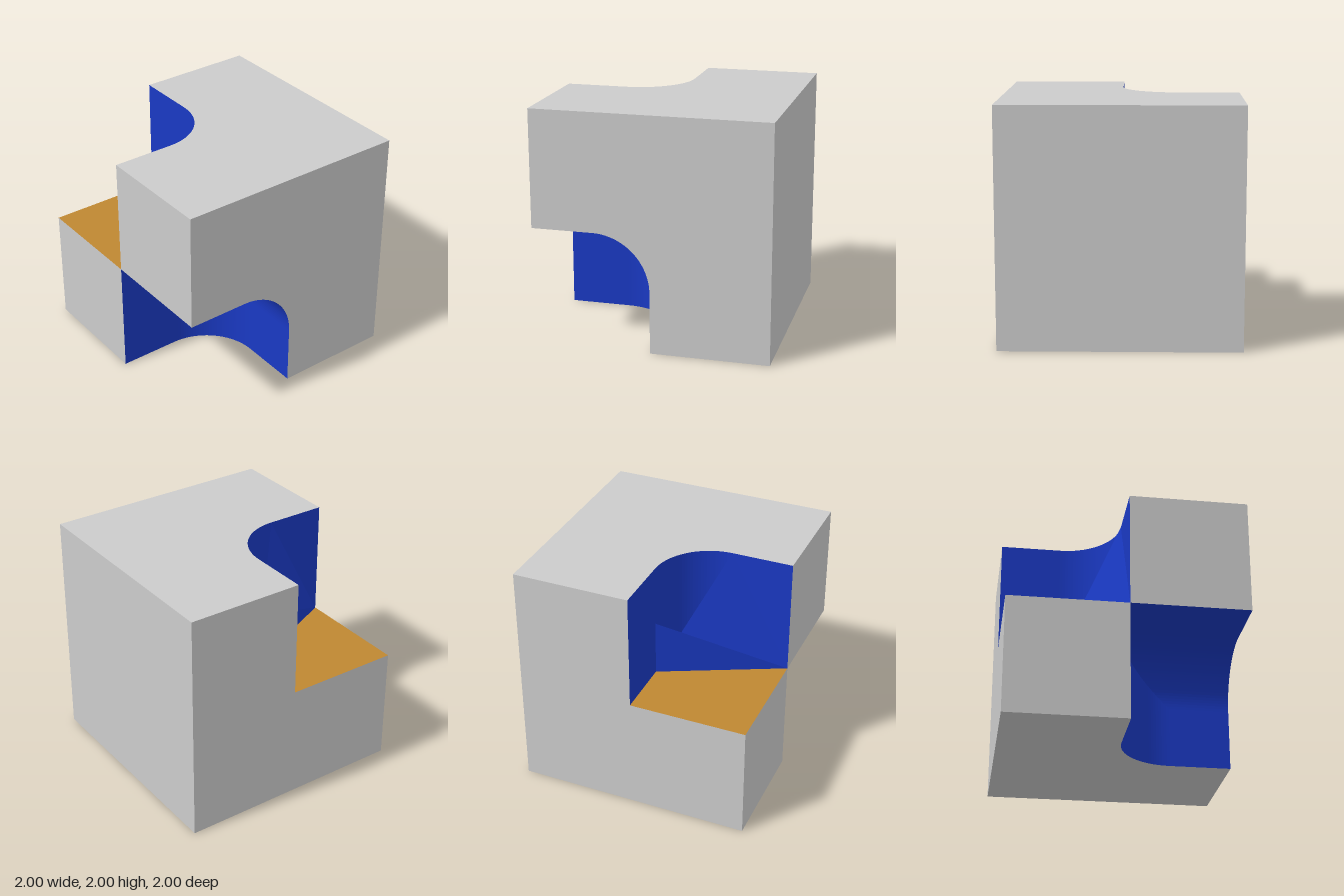
import * as THREE from 'three';

const R = 0.48, SEG = 32;
const material = (color) => new THREE.MeshStandardMaterial({ color, flatShading: true, side: THREE.DoubleSide });
const V = (x, y, z) => new THREE.Vector3(x, y, z);

// Filleted corner line: along the wall, round the fillet, out to the front
function profile(r) {
  const pts = [new THREE.Vector2(-1, 0)];
  if (r === 0) pts.push(new THREE.Vector2(0, 0));
  else for (let i = 0; i <= SEG; i++) {
    const a = (i / SEG) * Math.PI / 2;
    pts.push(new THREE.Vector2(-r + r * Math.sin(a), r - r * Math.cos(a)));
  }
  pts.push(new THREE.Vector2(0, 1));
  return pts;
}

// Square panel with one notched quadrant (u < 0, v > 0)
const notched = (r) => [
  new THREE.Vector2(-1, -1), new THREE.Vector2(1, -1), new THREE.Vector2(1, 1),
  ...profile(r).reverse(),
];
const polygon = (...p) => p.map(([x, y]) => new THREE.Vector2(x, y));

// Flat panel laid out on axes u and v, facing along n
function panel(points, u, v, n, origin) {
  const geo = new THREE.ShapeGeometry(new THREE.Shape(points));
  const m = new THREE.Matrix4().makeBasis(u, v, n).setPosition(origin);
  if (m.determinant() < 0) geo.setIndex(Array.from(geo.index.array).reverse());
  geo.applyMatrix4(m);
  geo.computeVertexNormals();
  return geo;
}

// Surface through cross-sections of equal length
function loft(rows) {
  const pos = [], idx = [], n = rows[0].length;
  rows.forEach((row) => row.forEach((p) => pos.push(p.x, p.y, p.z)));
  for (let i = 0; i < rows.length - 1; i++) {
    for (let j = 0; j < n - 1; j++) {
      const a = i * n + j, b = a + n;
      idx.push(a, b, b + 1, a, b + 1, a + 1);
    }
  }
  const geo = new THREE.BufferGeometry();
  geo.setAttribute('position', new THREE.Float32BufferAttribute(pos, 3));
  geo.setIndex(idx);
  geo.computeVertexNormals();
  return geo;
}

function triangle(a, b, c) {
  const geo = new THREE.BufferGeometry().setFromPoints([a, b, c]);
  geo.computeVertexNormals();
  return geo;
}

export function createModel() {
  const group = new THREE.Group();
  const grey = material(0xcccccc), blue = material(0x1a39c3), orange = material(0xbf8731);
  const add = (name, geo, mat) => {
    const mesh = new THREE.Mesh(geo, mat);
    mesh.name = name;
    group.add(mesh);
  };
  const X = V(1, 0, 0), Y = V(0, 1, 0), Z = V(0, 0, 1);
  const nX = V(-1, 0, 0), nY = V(0, -1, 0), nZ = V(0, 0, -1);

  // Outer faces of the cube
  add('topFace', panel(notched(R), X, Z, Y, V(0, 2, 0)), grey);
  add('bottomFace', panel(notched(R), nX, Z, nY, V(0, 0, 0)), grey);
  add('leftFace', panel(notched(R), Y, Z, X, V(1, 1, 0)), grey);
  add('rightFace', panel(notched(0), nY, Z, nX, V(-1, 1, 0)), grey);
  const square = polygon([-1, -1], [1, -1], [1, 1], [-1, 1]);
  add('backFace', panel(square, X, Y, nZ, V(0, 1, -1)), grey);
  const quarter = polygon([0, 0], [1, 0], [1, 1], [0, 1]);
  add('upperFrontFace', panel(quarter, X, Y, Z, V(0, 1, 1)), grey);
  add('lowerFrontFace', panel(quarter, X, Y, Z, V(-1, 0, 1)), grey);

  // Upper notch: filleted wall, flat floor and the shaded corner floor
  add('upperNotchWall', loft(profile(R).map((p) => [V(p.x, 2, p.y), V(p.x, 1, p.y)]).reverse()), blue);
  add('notchFloor', panel(polygon([-1, 0], [-R, 0], [0, 1], [-1, 1]), X, Z, Y, V(0, 1, 0)), orange);
  add('cornerFloor', panel(profile(R).slice(1), X, Z, Y, V(0, 1, 0)), blue);

  // Slanted facets rising from the slanting floor edge
  const foot = V(-R, 1, 0), tip = V(0, 1, 1);
  add('uprightFacet', triangle(foot, tip, V(-R, 1 + R, 0)), blue);
  add('leaningFacet', triangle(foot, tip, V(0, 2, R)), blue);

  // Lower notch: upright and overhead fillets meeting along a mitre
  const rows = profile(R).map((p) => {
    const t = -p.x;
    return [V(t, 0, p.y), V(t, 1 - t, p.y), V(1, 1 - t, p.y)];
  });
  add('lowerNotchWall', loft(rows.reverse().map((r) => r.reverse())), blue);

  return group;
}
